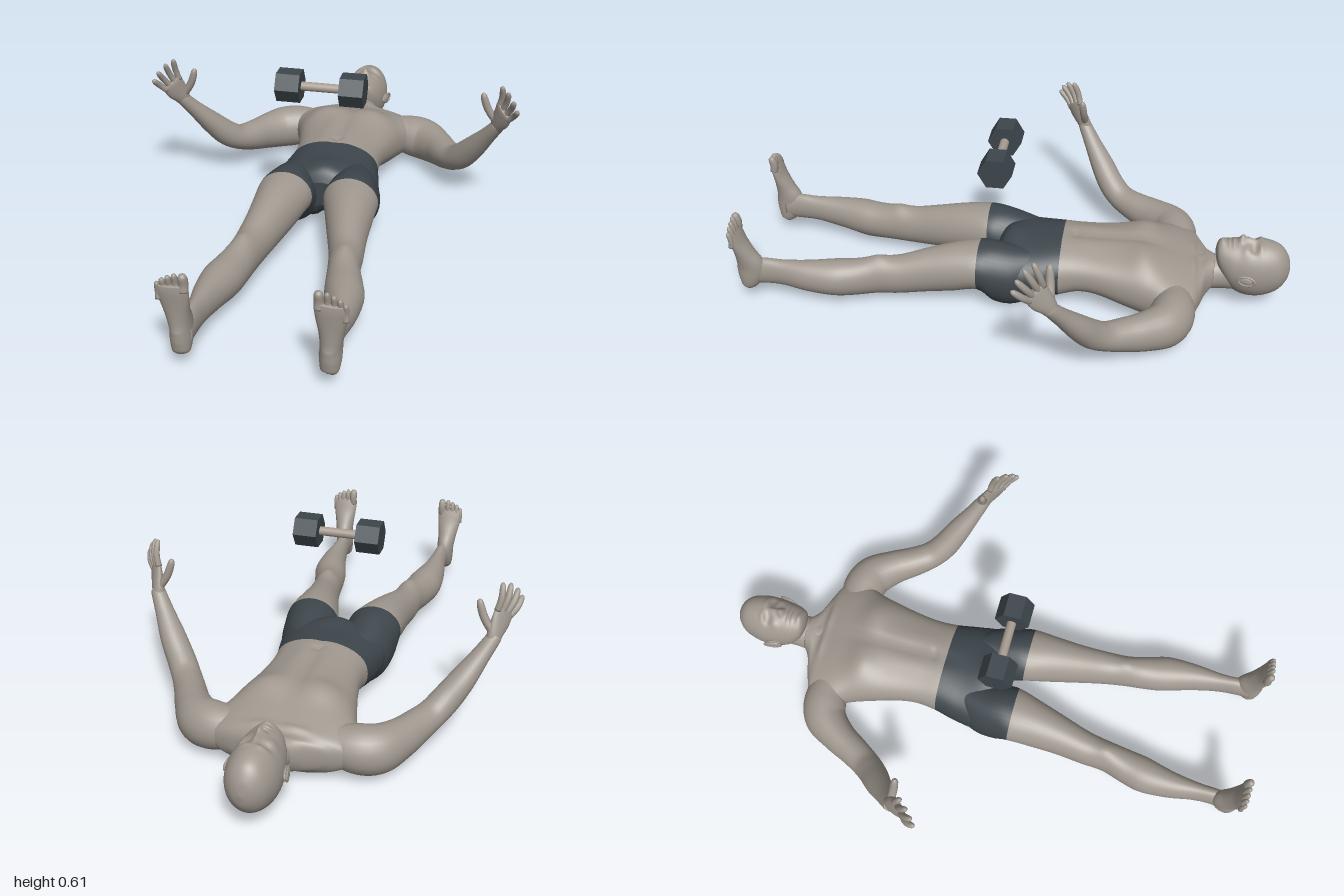
import * as THREE from 'three';

const skin = new THREE.MeshStandardMaterial({ color: 0xa0988f });
skin.name = 'skin';
const dark = new THREE.MeshStandardMaterial({ color: 0x3d464c });
dark.name = 'darkGrey';
const grip = new THREE.MeshStandardMaterial({ color: 0xa89c90 });
grip.name = 'gripMetal';

// Smooth interpolation through rows of numbers; u counts rows.
function sample(rows, u) {
  const i = Math.min(Math.floor(u), rows.length - 2), t = u - i;
  const at = k => rows[Math.max(0, Math.min(rows.length - 1, k))];
  const [p, q, r, s] = [at(i - 1), at(i), at(i + 1), at(i + 2)];
  return q.map((v, k) => v + 0.5 * t * (r[k] - p[k] + t * (2 * p[k] - 5 * v + 4 * r[k] - s[k]
    + t * (3 * (v - r[k]) + s[k] - p[k]))));
}

// Skin over oval sections [x, y, z, halfWidth, halfHeight].
// ref = width direction (null keeps every ring level in the xy plane).
// bumps = [x, side, z, sizeX, sizeZ, height], mirrored in x, on the upper (+1) or lower (-1) side.
// split = [row, ...] where the material changes.
function loft(rows, { ref = null, seg = 24, steps = 5, power = 1, bumps = [], split = [] } = {}) {
  const pos = [], idx = [], rings = (rows.length - 1) * steps + 1;
  const soft = v => Math.sign(v) * Math.abs(v) ** power;
  for (let i = 0; i < rings; i++) {
    const u = i / steps, s = sample(rows, u);
    let side = new THREE.Vector3(1, 0, 0), up = new THREE.Vector3(0, 1, 0);
    if (ref) {
      const a = sample(rows, Math.max(0, u - 0.1)), b = sample(rows, Math.min(rows.length - 1, u + 0.1));
      const t = new THREE.Vector3(b[0] - a[0], b[1] - a[1], b[2] - a[2]).normalize();
      side = new THREE.Vector3(...ref);
      side.addScaledVector(t, -side.dot(t)).normalize();
      up = t.clone().cross(side);
    }
    for (let j = 0; j < seg; j++) {
      const th = j / seg * Math.PI * 2, c = soft(Math.cos(th)), h = soft(Math.sin(th));
      const p = new THREE.Vector3(s[0], s[1], s[2])
        .addScaledVector(side, c * Math.max(s[3], 0.001)).addScaledVector(up, h * Math.max(s[4], 0.001));
      let dy = 0;
      for (const [bx, way, bz, sx, sz, amt] of bumps) {
        const weight = THREE.MathUtils.smoothstep(h * way, 0, 0.5);
        dy += way * amt * weight * Math.exp(-(((Math.abs(p.x) - bx) / sx) ** 2) - ((p.z - bz) / sz) ** 2);
      }
      pos.push(p.x, p.y + dy, p.z);
    }
  }
  const first = rings * seg;
  pos.push(...rows[0].slice(0, 3), ...rows[rows.length - 1].slice(0, 3));
  for (let j = 0; j < seg; j++) idx.push(first, (j + 1) % seg, j);
  for (let i = 0; i < rings - 1; i++) for (let j = 0; j < seg; j++) {
    const a = i * seg + j, b = i * seg + (j + 1) % seg;
    idx.push(a, b, b + seg, a, b + seg, a + seg);
  }
  const last = (rings - 1) * seg;
  for (let j = 0; j < seg; j++) idx.push(first + 1, last + j, last + (j + 1) % seg);
  const g = new THREE.BufferGeometry();
  g.setAttribute('position', new THREE.Float32BufferAttribute(pos, 3));
  g.setIndex(idx);
  g.computeVertexNormals();
  let start = 0;
  split.forEach((row, k) => {
    const end = seg * 3 + row * steps * seg * 6;
    g.addGroup(start, end - start, k);
    start = end;
  });
  if (split.length) g.addGroup(start, idx.length - start, split.length);
  return g;
}

function mirrored(geometry) {
  const g = geometry.clone().scale(-1, 1, 1), a = g.index.array;
  for (let i = 0; i < a.length; i += 3) [a[i], a[i + 1]] = [a[i + 1], a[i]];
  g.computeVertexNormals();
  return g;
}

// Rounded finger or toe between two points.
function digit(from, to, r, ref, bend = [0, 0, 0]) {
  const at = (t, k) => [...from.map((v, i) => v + (to[i] - v) * t + bend[i] * Math.sin(t * Math.PI)), r * k, r * k];
  return loft([at(0, 1), at(0.3, 1), at(0.55, 1), at(0.8, 0.92), at(0.94, 0.65), at(1, 0.1)], { ref, seg: 12, steps: 3 });
}

// Rows written as [z, halfWidth, lowY, highY].
const levels = list => list.map(([z, w, lo, hi]) => [0, (lo + hi) / 2, z, w, (hi - lo) / 2]);

export function createModel() {
  const model = new THREE.Group();
  const add = (name, geometry, material, parent = model) => {
    const m = new THREE.Mesh(geometry, material);
    m.name = name;
    parent.add(m);
    return m;
  };
  const pair = (name, geometry, material) => {
    add(name + 'Left', geometry, material);
    add(name + 'Right', mirrored(geometry), material);
  };

  // Torso, with the upper part of the shorts
  add('torsoAndShorts', loft(levels([
    [-0.73, 0.062, 0.08, 0.195], [-0.705, 0.1, 0.06, 0.195], [-0.68, 0.18, 0.05, 0.19], [-0.65, 0.24, 0.03, 0.2],
    [-0.58, 0.255, 0.012, 0.222], [-0.5, 0.22, 0.008, 0.243], [-0.42, 0.196, 0.022, 0.25], [-0.32, 0.173, 0.052, 0.246],
    [-0.25, 0.165, 0.055, 0.247], [-0.18, 0.17, 0.032, 0.25], [-0.1, 0.187, 0.016, 0.245], [-0.02, 0.195, 0.02, 0.24],
    [0.03, 0.15, 0.05, 0.225], [0.055, 0.07, 0.09, 0.19]]), {
    seg: 64, steps: 7, power: 0.88, split: [9],
    bumps: [[0.1, 1, -0.48, 0.075, 0.055, 0.02], [0, 1, -0.4, 0.014, 0.18, -0.008], [0.05, 1, -0.3, 0.03, 0.1, 0.006],
      [0, 1, -0.225, 0.01, 0.012, -0.01], [0, -1, -0.4, 0.025, 0.2, -0.016], [0, -1, -0.02, 0.022, 0.09, -0.03],
      [0.12, -1, -0.54, 0.06, 0.08, 0.008], [0.05, 1, -0.655, 0.05, 0.012, 0.008], [0, 1, 0, 0.05, 0.05, 0.015]],
  }), [skin, dark]);

  // Neck
  add('neck', loft([[0, 0.135, -0.84, 0.06, 0.062], [0, 0.135, -0.76, 0.06, 0.062], [0, 0.13, -0.7, 0.068, 0.064],
    [0, 0.12, -0.63, 0.085, 0.07]], { seg: 32 }), skin);

  // Head with brow, eye sockets, nose, lips and chin
  add('head', loft(levels([
    [-1, 0.006, 0.165, 0.18], [-0.99, 0.036, 0.125, 0.222], [-0.96, 0.066, 0.085, 0.262], [-0.91, 0.083, 0.06, 0.28],
    [-0.86, 0.086, 0.055, 0.28], [-0.815, 0.08, 0.068, 0.277], [-0.78, 0.071, 0.1, 0.273],
    [-0.75, 0.054, 0.15, 0.268], [-0.737, 0.036, 0.19, 0.258], [-0.731, 0.008, 0.222, 0.232]]), {
    seg: 80, steps: 9,
    bumps: [[0.033, 1, -0.864, 0.016, 0.012, -0.014], [0.032, 1, -0.864, 0.009, 0.006, 0.006],
      [0.03, 1, -0.886, 0.022, 0.009, 0.006], [0, 1, -0.845, 0.008, 0.024, 0.012], [0, 1, -0.82, 0.011, 0.012, 0.022],
      [0.012, 1, -0.815, 0.006, 0.007, 0.008], [0, 1, -0.79, 0.02, 0.005, 0.008], [0, 1, -0.783, 0.022, 0.0025, -0.005],
      [0, 1, -0.776, 0.018, 0.005, 0.008], [0, 1, -0.75, 0.02, 0.012, 0.01], [0.05, 1, -0.835, 0.014, 0.014, 0.005]],
  }), skin);
  const ear = new THREE.SphereGeometry(1, 16, 12).scale(0.011, 0.02, 0.033).rotateY(-0.2).translate(0.087, 0.163, -0.842);
  pair('ear', ear, skin);
  const earRim = new THREE.TorusGeometry(0.019, 0.004, 8, 20).rotateY(Math.PI / 2)
    .scale(1, 0.95, 1.55).rotateY(-0.2).translate(0.094, 0.165, -0.843);
  pair('earRim', earRim, skin);

  // Legs, with the lower part of the shorts
  pair('legAndShorts', loft([
    [0.095, 0.128, -0.1, 0.07, 0.095], [0.11, 0.124, -0.02, 0.094, 0.114], [0.117, 0.138, 0.05, 0.1, 0.115],
    [0.121, 0.165, 0.11, 0.1, 0.09], [0.132, 0.153, 0.2, 0.086, 0.092], [0.146, 0.137, 0.3, 0.071, 0.085],
    [0.163, 0.12, 0.4, 0.06, 0.076], [0.173, 0.116, 0.48, 0.055, 0.074], [0.19, 0.11, 0.56, 0.062, 0.07],
    [0.204, 0.111, 0.63, 0.065, 0.069], [0.216, 0.115, 0.73, 0.049, 0.061], [0.218, 0.122, 0.82, 0.033, 0.052],
    [0.22, 0.125, 0.89, 0.028, 0.053], [0.225, 0.12, 0.95, 0.032, 0.05]], {
    seg: 36, split: [3],
    bumps: [[0.172, 1, 0.475, 0.03, 0.03, 0.008], [0.18, -1, 0.6, 0.03, 0.06, 0.006]],
  }), [dark, skin]);

  // Feet, toes pointing up
  pair('foot', loft([
    [0.226, 0.058, 0.962, 0.008, 0.008], [0.227, 0.066, 0.957, 0.026, 0.026], [0.228, 0.1, 0.945, 0.033, 0.044],
    [0.229, 0.15, 0.937, 0.034, 0.052], [0.232, 0.2, 0.95, 0.038, 0.037], [0.234, 0.25, 0.965, 0.046, 0.024],
    [0.236, 0.29, 0.975, 0.051, 0.017], [0.237, 0.312, 0.979, 0.047, 0.012]], { ref: [1, 0, 0] }), skin);
  [[0.2, 0.353, 0.015], [0.225, 0.352, 0.01], [0.245, 0.344, 0.01], [0.263, 0.334, 0.01], [0.279, 0.32, 0.0095]]
    .forEach(([x, y, r], i) => pair('toe' + (i + 1),
      digit([x, y - 0.062, 0.977], [x, y, 0.985], r, [1, 0, 0], [0, 0, -0.006]), skin));

  // Arms
  pair('arm', loft([
    [0.16, 0.125, -0.59, 0.065, 0.065], [0.24, 0.115, -0.592, 0.083, 0.078], [0.305, 0.11, -0.568, 0.084, 0.077],
    [0.36, 0.115, -0.5, 0.072, 0.063], [0.4, 0.125, -0.43, 0.06, 0.056], [0.438, 0.142, -0.37, 0.05, 0.052],
    [0.475, 0.178, -0.325, 0.05, 0.05], [0.52, 0.238, -0.283, 0.043, 0.046], [0.568, 0.31, -0.236, 0.031, 0.034],
    [0.6, 0.36, -0.205, 0.026, 0.027], [0.608, 0.375, -0.196, 0.024, 0.024]], { ref: [0, 1, 0], steps: 6 }), skin);

  // Hands: palm, four spread fingers, thumb
  const along = new THREE.Vector3(0.05, 0.17, 0.1).normalize();
  const across = new THREE.Vector3(0.595, -0.535, 0.6).normalize();
  const wrist = new THREE.Vector3(0.603, 0.363, -0.203);
  const spot = (d, s) => wrist.clone().addScaledVector(along, d).addScaledVector(across, s).toArray();
  const ref = across.toArray();
  pair('palm', loft([[...spot(-0.01, 0), 0.024, 0.022], [...spot(0.025, -0.002), 0.033, 0.021],
    [...spot(0.06, 0), 0.041, 0.018], [...spot(0.095, 0), 0.042, 0.014], [...spot(0.108, 0), 0.036, 0.01]], { ref }), skin);
  [['indexFinger', -0.032, 0.085], ['middleFinger', -0.011, 0.095], ['ringFinger', 0.011, 0.09], ['littleFinger', 0.031, 0.074]]
    .forEach(([name, s, len]) => pair(name,
      digit(spot(0.092, s), spot(0.1 + len, s * (1 + len * 9)), 0.0115, ref, [0.006, 0, -0.005]), skin));
  pair('thumb', digit(spot(0.02, -0.012), [0.547, 0.5, -0.19], 0.0145, [0, 0, 1], [-0.008, -0.004, 0]), skin);

  // Dumbbell floating above the hips
  const dumbbell = new THREE.Group();
  dumbbell.name = 'dumbbell';
  dumbbell.position.set(0, 0.567, 0.046);
  model.add(dumbbell);
  add('handle', new THREE.CylinderGeometry(0.016, 0.016, 0.16, 20).rotateZ(Math.PI / 2), grip, dumbbell);
  for (const s of [1, -1]) {
    const hex = new THREE.CylinderGeometry(0.06, 0.06, 0.085, 6).rotateZ(Math.PI / 2).toNonIndexed();
    hex.computeVertexNormals();
    add(s > 0 ? 'weightLeft' : 'weightRight', hex, dark, dumbbell).position.x = s * 0.113;
  }
  return model;
}
